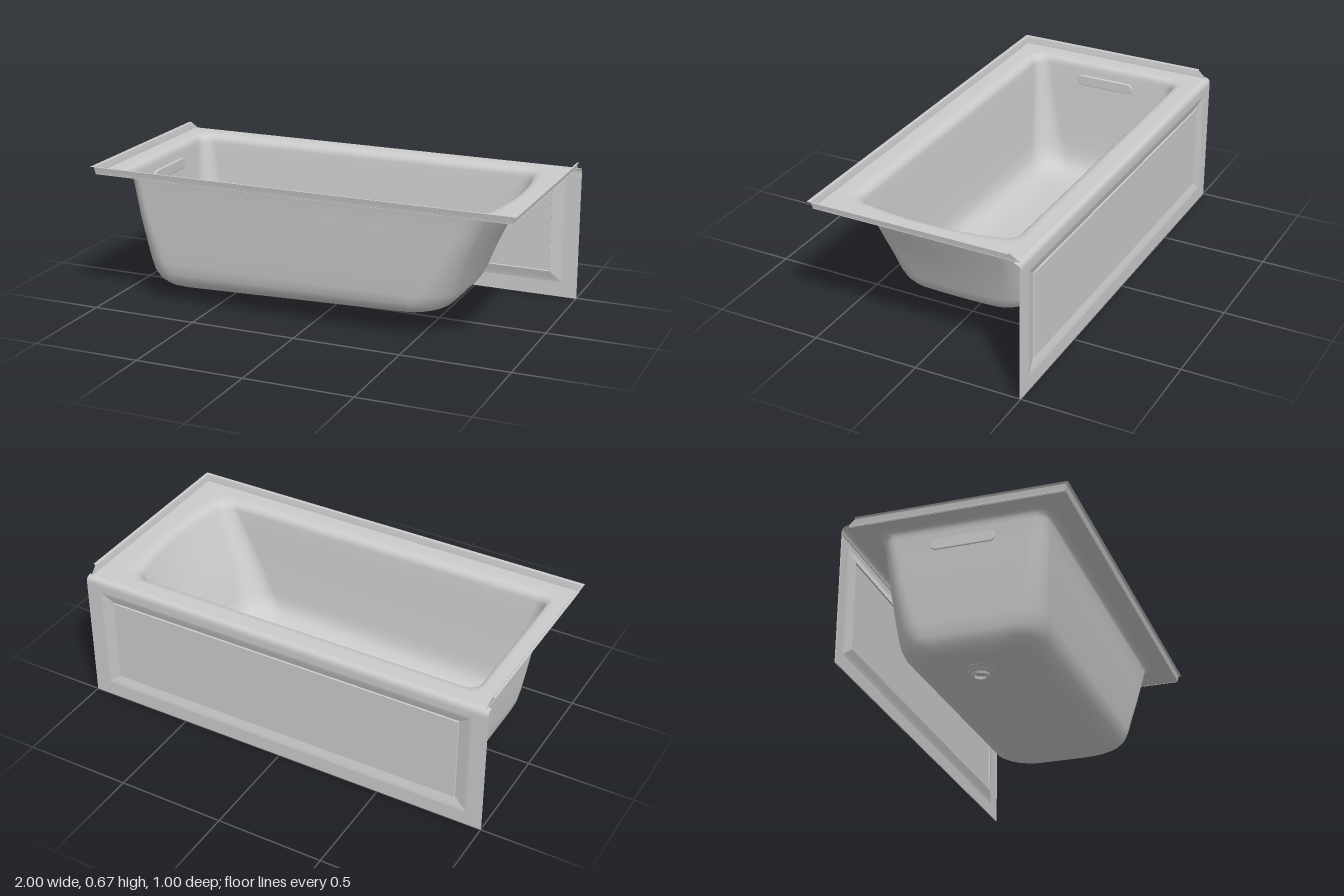
import * as THREE from 'three';

const smooth = new THREE.MeshStandardMaterial({ color: 0xcccccc, side: THREE.DoubleSide });
const faceted = new THREE.MeshStandardMaterial({ color: 0xcccccc, side: THREE.DoubleSide, flatShading: true });

// Skin a list of equally long cross-sections; closed joins each one's ends
function loft(name, rings, closed, material) {
  const n = rings[0].length, index = [];
  for (let i = 0; i < rings.length - 1; i++) {
    for (let j = 0; j < (closed ? n : n - 1); j++) {
      const k = (j + 1) % n, a = i * n + j, b = i * n + k;
      index.push(a, b, a + n, b, b + n, a + n);
    }
  }
  const geo = new THREE.BufferGeometry();
  geo.setAttribute('position', new THREE.Float32BufferAttribute(rings.flat(2), 3));
  geo.setIndex(index);
  geo.computeVertexNormals();
  const mesh = new THREE.Mesh(geo, material);
  mesh.name = name;
  return mesh;
}

// Horizontal rounded rectangle; bulge bows the +x end, slope tilts it along x
function basinRing([y, x0, x1, hz, r, bulge = 0, slope = 0, zc = 0]) {
  const pts = [], arc = 10, side = 14;
  const cx = (x0 + x1) / 2, hx = (x1 - x0) / 2;
  const corners = [[1, 1, 0], [-1, 1, 1], [-1, -1, 2], [1, -1, 3]];
  const flat = [];
  for (const [sx, sz, q] of corners) {
    for (let i = 0; i <= arc; i++) {
      const a = (q + i / arc) * Math.PI / 2;
      flat.push([cx + sx * (hx - r) + r * Math.cos(a), sz * (hz - r) + r * Math.sin(a)]);
    }
  }
  flat.forEach((p, i) => {
    const q = flat[(i + 1) % flat.length];
    const steps = i % (arc + 1) === arc ? side : 1;
    for (let s = 0; s < steps; s++) {
      const t = s / steps;
      let x = p[0] + (q[0] - p[0]) * t;
      const z = p[1] + (q[1] - p[1]) * t;
      const k = Math.max(0, (x - cx) / hx);
      x += bulge * k * k * (1 - (z / hz) ** 2);
      pts.push([x, y + slope * 0.032 * (x + 0.7), z + zc]);
    }
  });
  return pts;
}

export function createModel() {
  const tub = new THREE.Group();
  tub.name = 'bathtub';

  // Deck and basin in one shell: y, x0, x1, half depth, corner radius, bulge, slope, z offset
  const levels = [
    [0.637, -0.985, 0.985, 0.48, 0.004, 0, 0, 0.005],
    [0.637, -0.92, 0.87, 0.42, 0.06, 0.03],
    [0.636, -0.905, 0.84, 0.403, 0.06, 0.045],
    [0.630, -0.893, 0.82, 0.386, 0.06, 0.05],
    [0.618, -0.887, 0.808, 0.374, 0.06, 0.05],
    [0.60, -0.883, 0.80, 0.368, 0.06, 0.05],
    [0.52, -0.876, 0.765, 0.361, 0.07, 0.047],
    [0.42, -0.867, 0.72, 0.353, 0.08, 0.04],
    [0.30, -0.855, 0.67, 0.341, 0.10, 0.03],
    [0.20, -0.845, 0.64, 0.331, 0.12, 0.025, 0.2],
    [0.145, -0.836, 0.622, 0.322, 0.13, 0.02, 0.5],
    [0.105, -0.82, 0.602, 0.303, 0.13, 0.015, 0.8],
    [0.078, -0.795, 0.578, 0.275, 0.13, 0.01, 1],
    [0.063, -0.76, 0.548, 0.243, 0.12, 0.005, 1],
    [0.057, -0.72, 0.51, 0.205, 0.11, 0, 1],
    [0.055, -0.70, 0.48, 0.18, 0.10, 0, 1],
    [0.052, -0.70, -0.56, 0.07, 0.0695, 0, 1],
  ];
  tub.add(loft('basin', levels.map(basinRing), true, smooth));

  // Drain sump with a small floor and a collar underneath
  const drain = new THREE.Group();
  drain.name = 'drain';
  drain.position.set(-0.63, 0, 0);
  const sump = [[0.072, 0.054], [0.058, 0.05], [0.048, 0.042], [0.04, 0.038], [0.036, 0.028], [0.028, 0.028], [0.026, 0.04], [0, 0.04]];
  const bowl = new THREE.Mesh(new THREE.LatheGeometry(sump.map(p => new THREE.Vector2(...p)), 32), faceted);
  bowl.name = 'drainSump';
  const cover = new THREE.Mesh(new THREE.CylinderGeometry(0.046, 0.05, 0.006, 32), faceted);
  cover.name = 'drainCover';
  cover.position.y = 0.055;
  drain.add(bowl, cover);
  tub.add(drain);

  // Overflow slot cover on the steep end wall
  const w = 0.12, r = 0.022;
  const slot = new THREE.Shape();
  slot.absarc(w, 0, r, -Math.PI / 2, Math.PI / 2);
  slot.absarc(-w, 0, r, Math.PI / 2, Math.PI * 1.5);
  slot.closePath();
  const overflow = new THREE.Mesh(new THREE.ExtrudeGeometry(slot, {
    depth: 0.006, bevelThickness: 0.004, bevelSize: 0.004, bevelSegments: 2, curveSegments: 10,
  }), faceted);
  overflow.name = 'overflowCover';
  overflow.rotation.y = Math.PI / 2;
  overflow.position.set(-0.877, 0.55, 0);
  tub.add(overflow);

  // Raised wall flange along both ends and the long +z side, cut diagonally at the apron
  const lip = [[0, 0.635, -0.49], [0.002, 0.648, -0.474], [0.006, 0.668, -0.448], [0.009, 0.672, -0.443], [0.018, 0.672, -0.443]];
  tub.add(loft('wallFlange', lip.map(([d, y, zEnd]) => {
    const x = 0.982 + d, z = 0.482 + d;
    return [[-x, y, zEnd], [-x, y, z], [x, y, z], [x, y, zEnd]];
  }), false, faceted));

  // Rounded nosing between deck and apron
  const nosing = [[0.637, -0.47], [0.636, -0.482], [0.632, -0.491], [0.624, -0.497], [0.612, -0.5], [0.6, -0.5]];
  tub.add(loft('apronNosing', nosing.map(([y, z]) => [[-1, y, z], [1, y, z]]), false, smooth));

  // Apron: frame, inward bevel, then a stepped flat panel: half width, bottom, top, z
  const frames = [
    [1, 0, 0.6, -0.495],
    [1, 0, 0.6, -0.5],
    [0.925, 0.07, 0.575, -0.5],
    [0.91, 0.085, 0.562, -0.497],
    [0.867, 0.12, 0.53, -0.487],
    [0.865, 0.122, 0.528, -0.493],
    [0, 0.325, 0.325, -0.493],
  ];
  tub.add(loft('apron', frames.map(([x, y0, y1, z]) =>
    [[-x, y0, z], [-x, y1, z], [x, y1, z], [x, y0, z]]), true, faceted));

  return tub;
}
